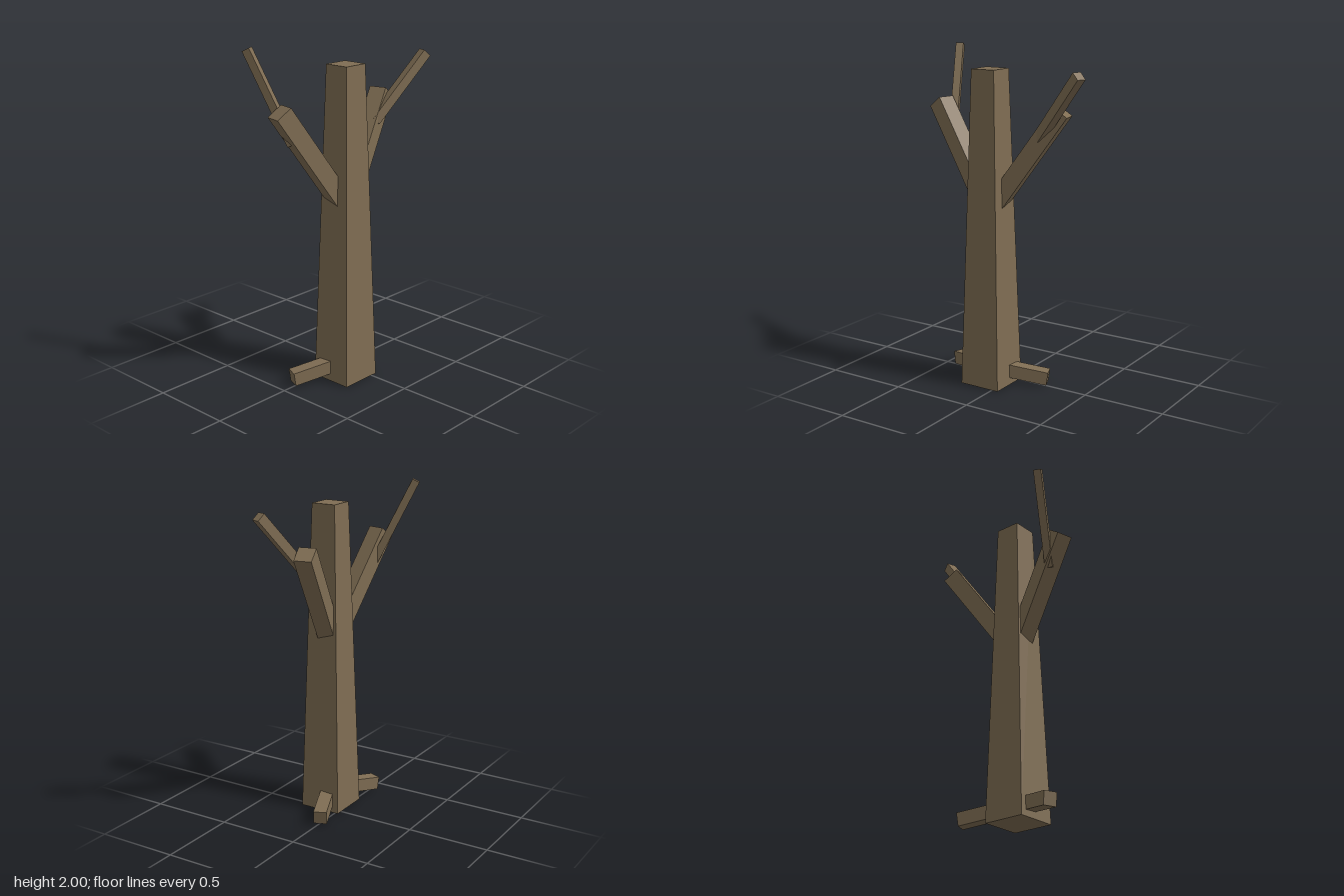
import * as THREE from 'three';

const AXIS_X = -0.09, AXIS_Z = 0.11; // trunk axis

export function createModel() {
  const tree = new THREE.Group();
  tree.name = 'bareTree';
  const bark = new THREE.MeshStandardMaterial({ color: 0x7f6d53, flatShading: true });
  bark.name = 'bark brown';

  // Square beam from the centre of one end face to the other
  function beam(name, from, to, size) {
    const a = new THREE.Vector3(...from), b = new THREE.Vector3(...to);
    const mesh = new THREE.Mesh(new THREE.BoxGeometry(size, size, a.distanceTo(b)), bark);
    mesh.name = name;
    mesh.position.copy(a).add(b).multiplyScalar(0.5);
    mesh.lookAt(b);
    tree.add(mesh);
  }

  // Tapered four-sided trunk
  const trunkGeo = new THREE.CylinderGeometry(0.077 * Math.SQRT2, 0.13 * Math.SQRT2, 1.89, 4);
  trunkGeo.rotateY(Math.PI / 4);
  const trunk = new THREE.Mesh(trunkGeo, bark);
  trunk.name = 'trunk';
  trunk.position.set(AXIS_X, 0.945, AXIS_Z);
  tree.add(trunk);

  // Main branches and roots, mirrored about the trunk axis
  for (const [side, s] of [['left', 1], ['right', -1]]) {
    beam(side + 'Branch', [AXIS_X + s * 0.02, 1.083, 0.102], [AXIS_X + s * 0.421, 1.665, 0.01], 0.105);
    beam(side + 'Root', [AXIS_X + s * 0.06, 0.092, 0.09], [AXIS_X + s * 0.325, 0.05, -0.017], 0.08);
  }

  // Thin twigs growing out of the branches
  beam('rightTwig', [-0.422, 1.47, 0.017], [-0.53, 1.988, -0.216], 0.046);
  beam('leftTwig', [0.21, 1.51, 0.061], [0.53, 1.888, 0.176], 0.056);

  return tree;
}
